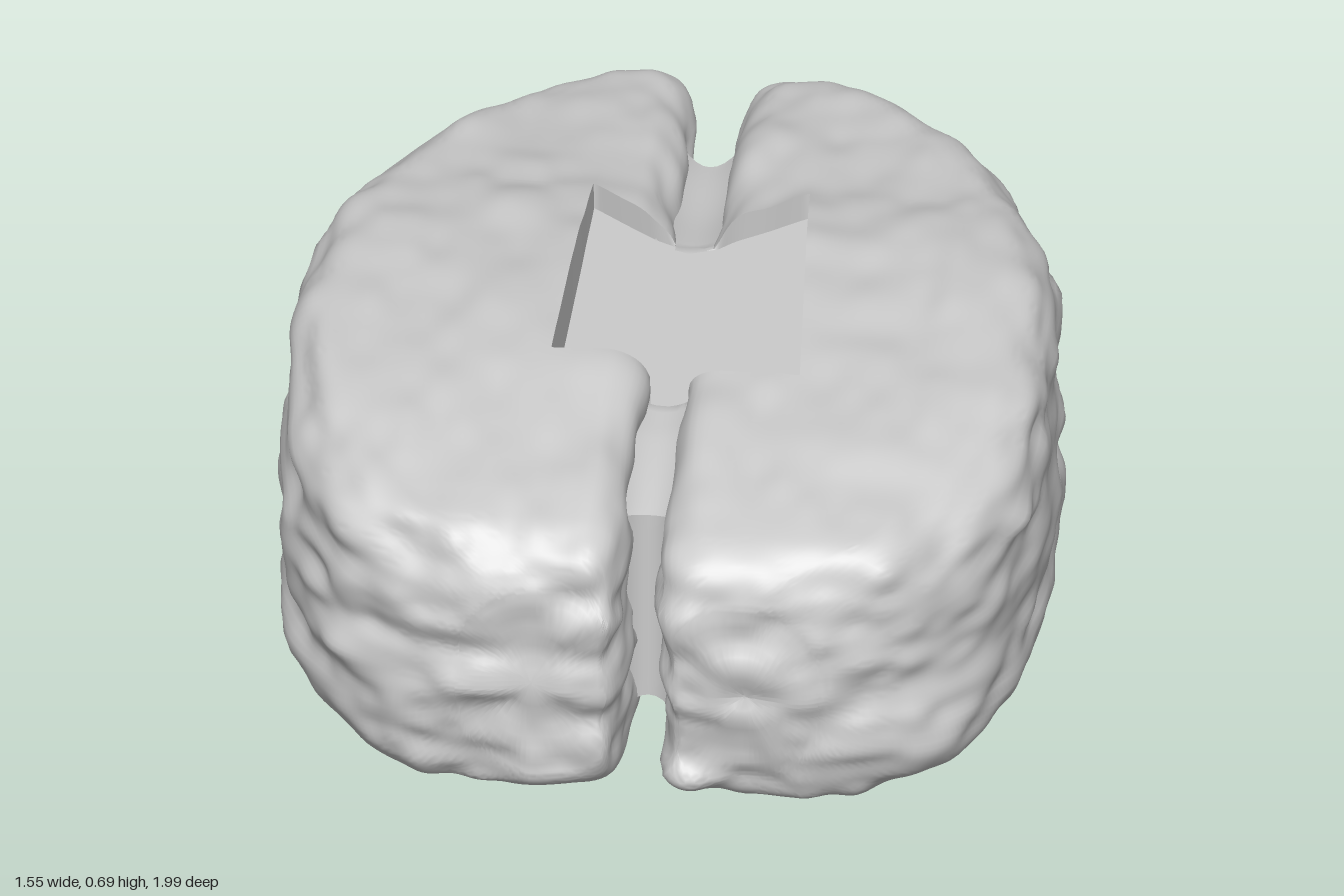
import * as THREE from 'three';
import { toCreasedNormals } from 'three/addons/utils/BufferGeometryUtils.js';

const FLOOR = 0.565, BACK = -0.33, FRONT = 0.37; // pocket floor height and z limits
const Z0 = -0.97, Z1 = 0.965; // first and last slice of a lobe

// Smooth curve through [z, value] pairs
function curve(pairs) {
  const it = new THREE.CubicInterpolant(pairs.map(p => p[0]), pairs.map(p => p[1]), 1);
  return z => it.evaluate(z)[0];
}
const outer = curve([[-1, 0.2], [-0.97, 0.25], [-0.88, 0.37], [-0.68, 0.515], [-0.45, 0.632], [-0.15, 0.717],
  [0.1, 0.748], [0.3, 0.752], [0.5, 0.733], [0.65, 0.7], [0.8, 0.635], [0.88, 0.56], [0.94, 0.44], [0.97, 0.33], [0.99, 0.2]]);
const inner = curve([[-1, 0.13], [-0.97, 0.09], [-0.9, 0.06], [-0.7, 0.044], [0, 0.038], [0.8, 0.038], [0.92, 0.05], [0.97, 0.075], [0.99, 0.11]]);
const top = curve([[-1, 0.47], [-0.9, 0.515], [-0.8, 0.54], [-0.6, 0.58], [-0.4, 0.61], [-0.2, 0.653],
  [0, 0.677], [0.2, 0.684], [0.4, 0.685], [0.6, 0.667], [0.8, 0.632], [0.9, 0.61], [0.99, 0.57]]);

// Seeded value noise in -1..1
function hash(x, y, z) {
  let h = Math.imul(x, 374761393) ^ Math.imul(y, 668265263) ^ Math.imul(z, 1274126177);
  h = Math.imul(h ^ (h >>> 13), 1103515245);
  return (((h ^ (h >>> 16)) >>> 0) / 4294967295) * 2 - 1;
}
function noise(x, y, z) {
  const c = [x, y, z].map(Math.floor);
  const [u, v, w] = [x - c[0], y - c[1], z - c[2]].map(t => t * t * (3 - 2 * t));
  let sum = 0;
  for (let i = 0; i < 8; i++) {
    const a = i & 1, b = (i >> 1) & 1, d = i >> 2;
    sum += hash(c[0] + a, c[1] + b, c[2] + d) * (a ? u : 1 - u) * (b ? v : 1 - v) * (d ? w : 1 - w);
  }
  return sum;
}

// Drop of a rounded edge of radius r at distance d from the edge
const round = (d, r) => d >= r ? 0 : r - Math.sqrt(Math.max(0, r * r - (r - d) ** 2));

// Push vertices along their normals to make the wrinkled skin
function wrinkle(geo, seed, amount) {
  geo.computeVertexNormals();
  const p = geo.attributes.position, n = geo.attributes.normal;
  for (let i = 0; i < p.count; i++) {
    const x = p.getX(i), y = p.getY(i), z = p.getZ(i);
    const side = 1 - 0.4 * Math.abs(n.getY(i));
    const d = amount * side * (noise(x * 8 + seed, y * 14, z * 5) + 0.5 * noise(x * 18 + seed, y * 24, z * 10));
    p.setXYZ(i, x + n.getX(i) * d, y + n.getY(i) * d, z + n.getZ(i) * d);
  }
}

// One half: slices along z, each a rounded box section, with its share of the pocket carved in.
// pocket(z) is the half width of the pocket, dip lowers the top towards the front.
function lobeGeometry(side, pocket, dip, seed) {
  const A = 16, B = 44, S = 26;
  const zs = [BACK - 0.001, BACK + 0.001, FRONT - 0.001, FRONT + 0.001];
  for (let k = 0; k <= 140; k++) zs.push((Z0 + Z1) / 2 - (Z1 - Z0) / 2 * Math.cos(Math.PI * k / 140));
  zs.sort((a, b) => a - b);
  // shrinking rings close each end with a slight bulge
  const caps = [0.93, 0.85, 0.75, 0.64, 0.52, 0.4, 0.27, 0.14, 0.03];
  const slices = [...[...caps].reverse().map(f => [Z0, f]), ...zs.map(z => [z, 1]), ...caps.map(f => [Z1, f])];
  const pos = [], carved = [], idx = [];
  let N = 0;
  for (const [z, f] of slices) {
    const xi = inner(z), xo = outer(z), end = Math.min(z - Z0, Z1 - z);
    const t = top(z) - dip * THREE.MathUtils.smoothstep(z, -0.1, 0.4) - round(end, 0.1) * 0.8;
    const b = 0.022 + round(end, 0.1) * 0.8;
    const px = Math.min(pocket(z), xi + 0.45 * (xo - xi));
    // edges get softer towards both ends
    const soft = 0.06 * THREE.MathUtils.smoothstep(Math.abs(z), 0.3, 0.9), w = xo - xi;
    const rI = Math.min(0.085, w * 0.3), rO = Math.min(0.1 + soft, w * 0.5);
    const rB = Math.min(0.06, w * 0.3), rBO = Math.min(0.09 + soft, w * 0.5);
    const inZ = z > BACK && z < FRONT;
    const cols = [];
    for (let i = 0; i <= A; i++) cols.push(xi + (px - xi) * (i / A) ** 1.3);
    for (let i = 0; i <= B; i++) cols.push(px + 0.002 + (xo - px - 0.002) * (1 - (1 - i / B) ** 1.4));
    const loop = cols.map((x, i) => [x, t - round(x - xi, rI) - round(xo - x, rO), inZ && i <= A]);
    for (let i = 1; i < S; i++) loop.push([xo, THREE.MathUtils.lerp(t - rO, b + rBO, i / S)]);
    for (const x of [...cols].reverse()) loop.push([x, b + round(x - xi, rB) + round(xo - x, rBO)]);
    for (let i = 1; i < S; i++) loop.push([xi, THREE.MathUtils.lerp(b + rB, t - rI, i / S), inZ]);
    N = loop.length;
    const cx = (xi + xo) / 2, cy = (t + b) / 2, bulge = Math.sign(z) * 0.02 * (1 - f * f);
    for (const [x, y, cut] of loop) {
      // the back of the pocket points forward in a V at the groove
      const shift = 0.16 * Math.max(0, 1 - x / pocket(z)) * Math.exp(-(((z - BACK) / 0.25) ** 2));
      if (cut) carved.push(pos.length / 3);
      pos.push(side * (cx + (x - cx) * f), cy + (y - cy) * f, z + (f === 1 ? shift : bulge));
    }
  }
  const tri = (a, b, c) => side > 0 ? idx.push(a, b, c) : idx.push(a, c, b);
  const M = slices.length;
  for (let j = 0; j < M - 1; j++) for (let i = 0; i < N; i++) {
    const k = (i + 1) % N, a = j * N + i, b = j * N + k;
    tri(a, a + N, b);
    tri(b, a + N, b + N);
  }
  // tiny middle of each end
  for (let i = 1; i < N - 1; i++) {
    tri(0, i, i + 1);
    tri((M - 1) * N, (M - 1) * N + i + 1, (M - 1) * N + i);
  }
  const geo = new THREE.BufferGeometry();
  geo.setAttribute('position', new THREE.Float32BufferAttribute(pos, 3));
  geo.setIndex(idx);
  wrinkle(geo, seed, 0.021);
  const p = geo.attributes.position;
  // top columns drop to the floor; inner wall points only if they stand above it
  for (const i of carved) p.setY(i, i % N <= A ? FLOOR : Math.min(p.getY(i), FLOOR));
  return toCreasedNormals(geo, 0.9);
}

// Bridge joining the halves inside the groove
function bridgeGeometry() {
  const geo = new THREE.BoxGeometry(0.14, 1, 1.36, 10, 10, 60);
  const p = geo.attributes.position;
  for (let i = 0; i < p.count; i++) {
    const x = p.getX(i), z = p.getZ(i) + 0.04;
    const sag = (x / 0.07) ** 2;
    const inPocket = z > BACK + 0.12 && z < FRONT;
    const hi = inPocket ? FLOOR - 0.004 : Math.min(top(z) - 0.105, 0.575) + 0.03 * sag;
    const lo = 0.12 - 0.03 * sag;
    const flare = 0.06 * sag * THREE.MathUtils.smoothstep(Math.abs(z - 0.04), 0.5, 0.68);
    p.setXYZ(i, x, THREE.MathUtils.lerp(lo, hi, p.getY(i) + 0.5), z + Math.sign(z - 0.04) * flare);
  }
  return toCreasedNormals(geo, 0.9);
}

// Flat floor spanning the groove between the two carved halves
function floorGeometry() {
  const s = new THREE.Shape();
  [[-0.08, -0.21], [0, -0.18], [0.08, -0.21], [0.08, 0.37], [-0.08, 0.37]].forEach(([x, z], i) =>
    i ? s.lineTo(x, -z) : s.moveTo(x, -z));
  return new THREE.ShapeGeometry(s).rotateX(-Math.PI / 2).translate(0, FLOOR + 0.001, 0);
}

export function createModel() {
  const group = new THREE.Group();
  const material = new THREE.MeshStandardMaterial({ color: 0xcccccc });
  const add = (name, geo) => {
    const mesh = new THREE.Mesh(geo, material);
    mesh.name = name;
    group.add(mesh);
  };
  add('leftLobe', lobeGeometry(1, z => 0.243 + 0.06 * z, 0.022, 11.3));
  add('rightLobe', lobeGeometry(-1, z => 0.21 + 0.03 * z, -0.005, 57.7));
  add('bridge', bridgeGeometry());
  add('pocketFloor', floorGeometry());
  return group;
}
